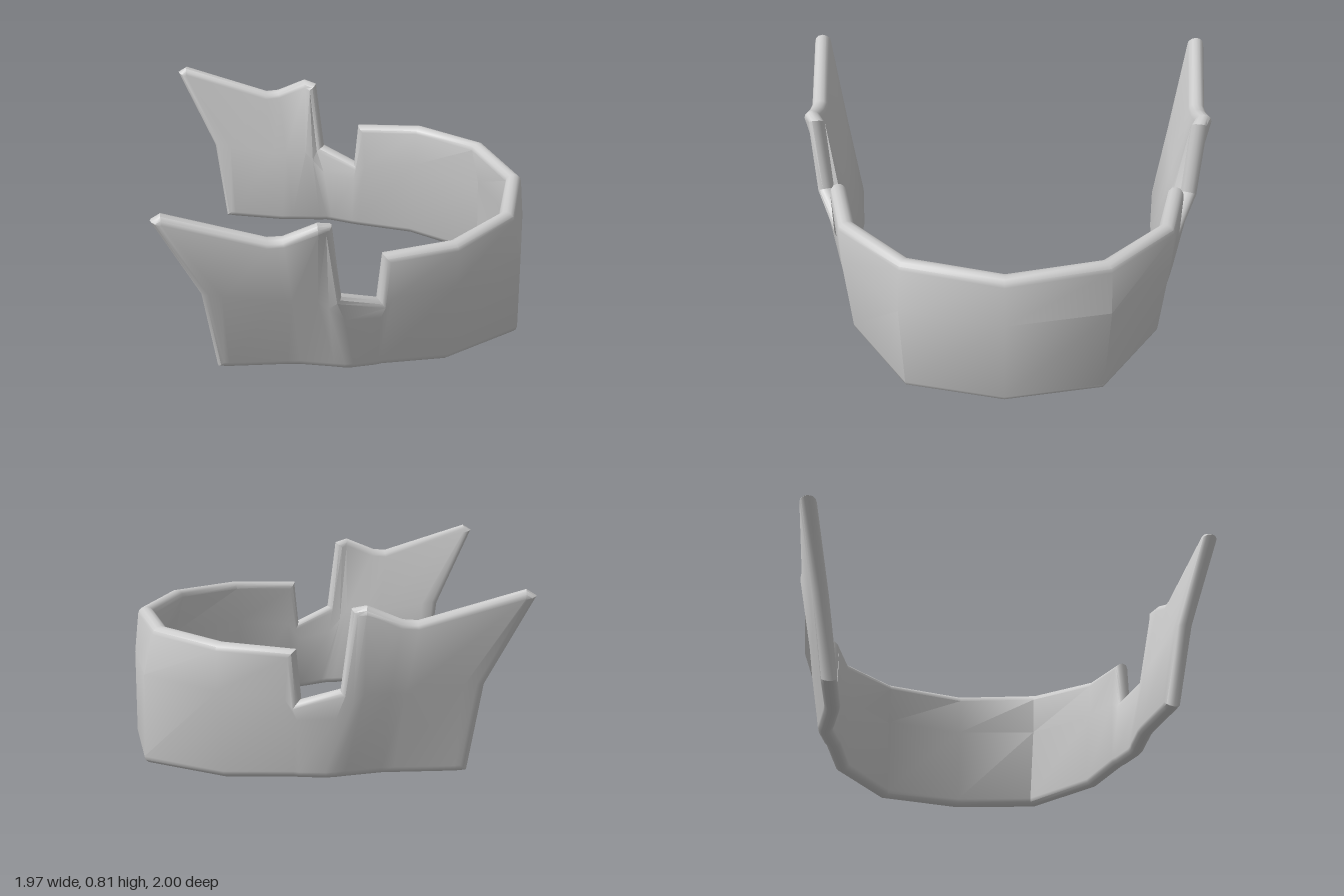
import * as THREE from 'three';
import { toCreasedNormals } from 'three/addons/utils/BufferGeometryUtils.js';

const HALF = 0.035;   // half the wall thickness
const ROUND = 0.03;   // depth of the rounded rim
const STEPS = 6;      // segments around the rim

// Columns of one half, from the middle of the band to the tip of the wing.
// Each holds [bottom, crease, top], each point as [side, height, forward].
const halfColumns = [
  [[0, 0, 1.035], [0, 0.39, 1.03], [0, 0.59, 1.01]],
  [[0.38, 0.003, 0.965], [0.395, 0.39, 0.95], [0.39, 0.588, 0.91]],
  [[0.61, 0.015, 0.64], [0.637, 0.385, 0.655], [0.64, 0.578, 0.655]],
  // band end and notch
  [[0.67, 0.03, 0.37], [0.69, 0.36, 0.40], [0.71, 0.56, 0.36]],
  [[0.68, 0.03, 0.345], [0.70, 0.28, 0.35], [0.712, 0.36, 0.345]],
  [[0.712, 0.037, 0.24], [0.755, 0.30, 0.20], [0.787, 0.42, 0.192]],
  // wing
  [[0.715, 0.04, 0.21], [0.765, 0.36, 0.14], [0.815, 0.74, 0.15]],
  [[0.71, 0.042, 0.17], [0.77, 0.40, 0.10], [0.839, 0.755, 0.093]],
  [[0.70, 0.05, 0.03], [0.77, 0.40, 0.0], [0.84, 0.70, -0.04]],
  [[0.70, 0.05, -0.02], [0.77, 0.40, -0.06], [0.837, 0.695, -0.098]],
  [[0.728, 0.06, -0.26], [0.785, 0.43, -0.28], [0.87, 0.815, -0.50]],
  [[0.732, 0.065, -0.305], [0.79, 0.43, -0.36], [0.87, 0.79, -0.54]],
];

function buildBand() {
  const toVectors = (sign) => (column) => column.map(([x, y, z]) => new THREE.Vector3(sign * x, y, z));
  const columns = [
    ...halfColumns.slice(1).reverse().map(toVectors(-1)),
    ...halfColumns.map(toVectors(1)),
  ];
  const last = columns.length - 1;
  const up = new THREE.Vector3(0, 1, 0);

  // outward direction of the wall at every column
  const outward = columns.map((c, i) => {
    const before = columns[Math.max(i - 1, 0)][1];
    const after = columns[Math.min(i + 1, last)][1];
    return after.clone().sub(before).setY(0).cross(up).normalize();
  });

  // closed outline: along the top, down one end, back along the bottom, up the other
  const outline = [];
  for (let i = 0; i <= last; i++) outline.push([i, 2]);
  outline.push([last, 1]);
  for (let i = last; i >= 0; i--) outline.push([i, 0]);
  outline.push([0, 1]);

  // half-round sections across the rim
  const sections = outline.map(([i, row], j) => {
    const at = (k) => {
      const [c, r] = outline[(k + outline.length) % outline.length];
      return columns[c][r];
    };
    const p = at(j);
    const n = outward[i];
    const t1 = p.clone().sub(at(j - 1)).normalize();
    const t2 = at(j + 1).clone().sub(p).normalize();
    const tangent = t1.clone().add(t2).normalize();
    const depth = ROUND * Math.min(1.4, 1 / Math.max(0.1, tangent.dot(t1)));
    const inward = tangent.cross(n).normalize().multiplyScalar(depth);
    const section = [];
    for (let k = 0; k <= STEPS; k++) {
      const a = (k / STEPS) * Math.PI;
      section.push(p.clone()
        .addScaledVector(inward, 1 - Math.sin(a))
        .addScaledVector(n, HALF * Math.cos(a)));
    }
    return section;
  });

  const positions = [];
  const quad = (a, b, c, d) => {
    for (const v of [a, b, c, a, c, d]) positions.push(v.x, v.y, v.z);
  };

  // rounded rim
  sections.forEach((s, j) => {
    const next = sections[(j + 1) % sections.length];
    for (let k = 0; k < STEPS; k++) quad(s[k], next[k], next[k + 1], s[k + 1]);
  });

  // outer and inner faces meet the edges of the rim
  const sectionOf = (i, row) => sections[outline.findIndex(([c, r]) => c === i && r === row)];
  for (const side of [1, -1]) {
    const facePoint = (i, row) => {
      const section = sectionOf(i, row);
      if (section) return section[side > 0 ? 0 : STEPS];
      return columns[i][row].clone().addScaledVector(outward[i], side * HALF);
    };
    for (let i = 0; i < last; i++) {
      for (let row = 0; row < 2; row++) {
        const q = [facePoint(i, row), facePoint(i + 1, row), facePoint(i + 1, row + 1), facePoint(i, row + 1)];
        if (side < 0) q.reverse();
        quad(...q);
      }
    }
  }

  const geometry = new THREE.BufferGeometry();
  geometry.setAttribute('position', new THREE.Float32BufferAttribute(positions, 3));
  return toCreasedNormals(geometry, 0.7);
}

export function createModel() {
  const model = new THREE.Group();
  model.name = 'curvedGuard';
  const band = new THREE.Mesh(buildBand(), new THREE.MeshStandardMaterial({ color: 0xcccccc }));
  band.name = 'wingedBand';
  // the band opens diagonally toward the back right
  band.rotation.y = 0.659;
  band.position.set(0.04, 0, -0.03);
  model.add(band);
  return model;
}
